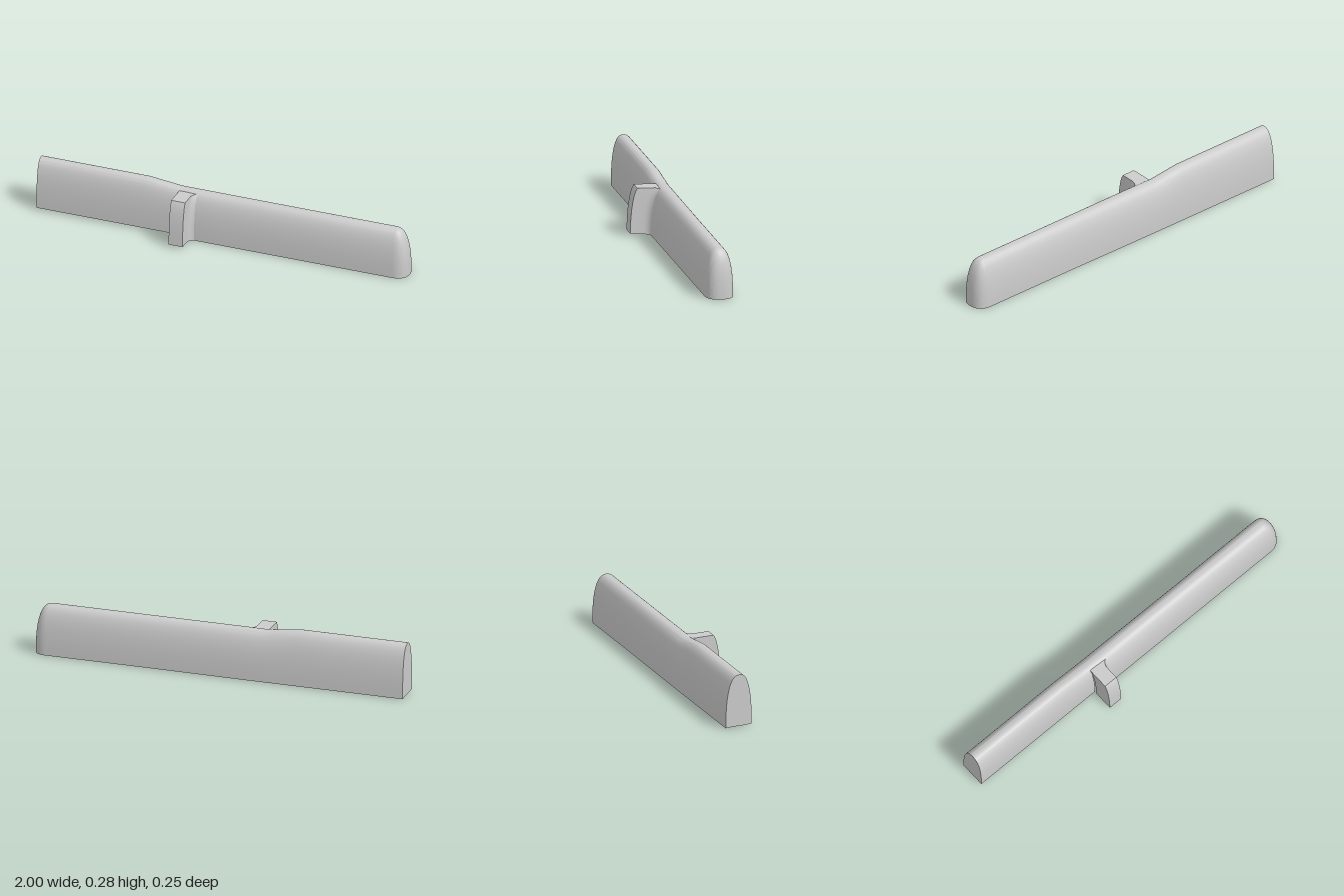
import * as THREE from 'three';
import { toCreasedNormals } from 'three/addons/utils/BufferGeometryUtils.js';

const material = new THREE.MeshStandardMaterial({ color: 0xcccccc, side: THREE.DoubleSide });
const MID = -0.05; // z of the ridge line
const { lerp, smoothstep } = THREE.MathUtils;

// Builds a surface from a grid of points; skip(i, j) leaves an opening
function surface(name, rows, cols, point, crease = 0.6, skip = () => false) {
  const positions = [], index = [];
  for (let i = 0; i <= rows; i++)
    for (let j = 0; j <= cols; j++) positions.push(...point(i, j));
  for (let i = 0; i < rows; i++)
    for (let j = 0; j < cols; j++) {
      if (skip(i, j)) continue;
      const a = i * (cols + 1) + j, b = a + cols + 1;
      index.push(a, a + 1, b, a + 1, b + 1, b);
    }
  const geometry = new THREE.BufferGeometry();
  geometry.setAttribute('position', new THREE.Float32BufferAttribute(positions, 3));
  geometry.setIndex(index);
  const mesh = new THREE.Mesh(toCreasedNormals(geometry, crease), material);
  mesh.name = name;
  return mesh;
}

const ARCH = 40;

// Point j of the arched cross-section at x, from the back foot to the front foot
function archPoint(x, j) {
  const toBody = smoothstep(x, -0.25, -0.14);
  const t = Math.max(0, (x - 0.92) / 0.08);
  const s = Math.pow(Math.max(0, 1 - Math.pow(t, 2.5)), 0.4); // rounded tip
  const a = Math.PI * (1 - j / ARCH);
  const c = Math.cos(a), front = c > 0;
  const width = front ? lerp(0.062, 0.073, toBody) : lerp(0.077, 0.073, smoothstep(x, -0.2, 0.4));
  const height = lerp(0.277, 0.256, THREE.MathUtils.clamp((x + 0.42) / 0.18, 0, 1));
  const foot = front ? lerp(0.013, 0.002, toBody) * Math.min(1, c * 3) : 0;
  const rise = j === 0 || j === ARCH ? 0 : Math.pow(Math.sin(a), 0.8);
  const z = MID + s * width * Math.sign(c) * Math.pow(Math.abs(c), 0.8);
  return [x, s * (foot + (height - foot) * rise), z];
}

export function createModel() {
  const group = new THREE.Group();

  // Hollow arched shell, open underneath and behind the side tab
  const stations = [-1, -0.7, -0.42, -0.36, -0.3, -0.24, -0.215, -0.19, -0.165, -0.14, 0, 0.4, 0.92];
  for (let k = 1; k <= 14; k++) stations.push(0.92 + 0.08 * Math.sin((k / 14) * Math.PI / 2));
  group.add(surface('shell', stations.length - 1, ARCH,
    (i, j) => archPoint(stations[i], j), 0.7,
    (i, j) => i >= 5 && i < 8 && j >= 28));

  // Flat wall closing the square end
  group.add(surface('endWall', 1, ARCH, (i, j) => {
    const [x, y, z] = archPoint(-1, j);
    const foot = lerp(0, 0.013, j / ARCH);
    return [x, i ? y : Math.min(y, foot), z];
  }));

  // Hollow side tab: leaning front, with a fillet where it meets the shell
  const profile = [[0, 0.128], [0.1, 0.127], [0.3, 0.125], [0.5, 0.121], [0.7, 0.114],
    [0.85, 0.106], [0.94, 0.098], [1, 0.09]]; // height fraction, front z
  const plan = [[-0.24, 0], [-0.24, 1], [-0.165, 1], [-0.165, 0.35], [-0.162, 0.22],
    [-0.155, 0.1], [-0.145, 0.03], [-0.13, -0.03]]; // x, share of the tab's depth
  const bodyZ = (f) => MID + 0.073 * Math.pow(1 - Math.pow(f * 0.96, 2.5), 0.4);
  group.add(surface('sideTab', profile.length, plan.length - 1, (i, j) => {
    const [f, frontZ] = profile[Math.min(i, profile.length - 1)];
    const [x, depth] = plan[j];
    if (i === profile.length) return [x, 0.246, -0.04];
    const z = lerp(bodyZ(f) - 0.002, frontZ, depth);
    const foot = 0.003 + 0.012 * Math.max(0, (z - 0.022) / 0.106);
    const top = 0.246 + 0.006 * Math.max(0, depth);
    return [x, lerp(foot, top, f), z];
  }, 0.6));

  return group;
}
